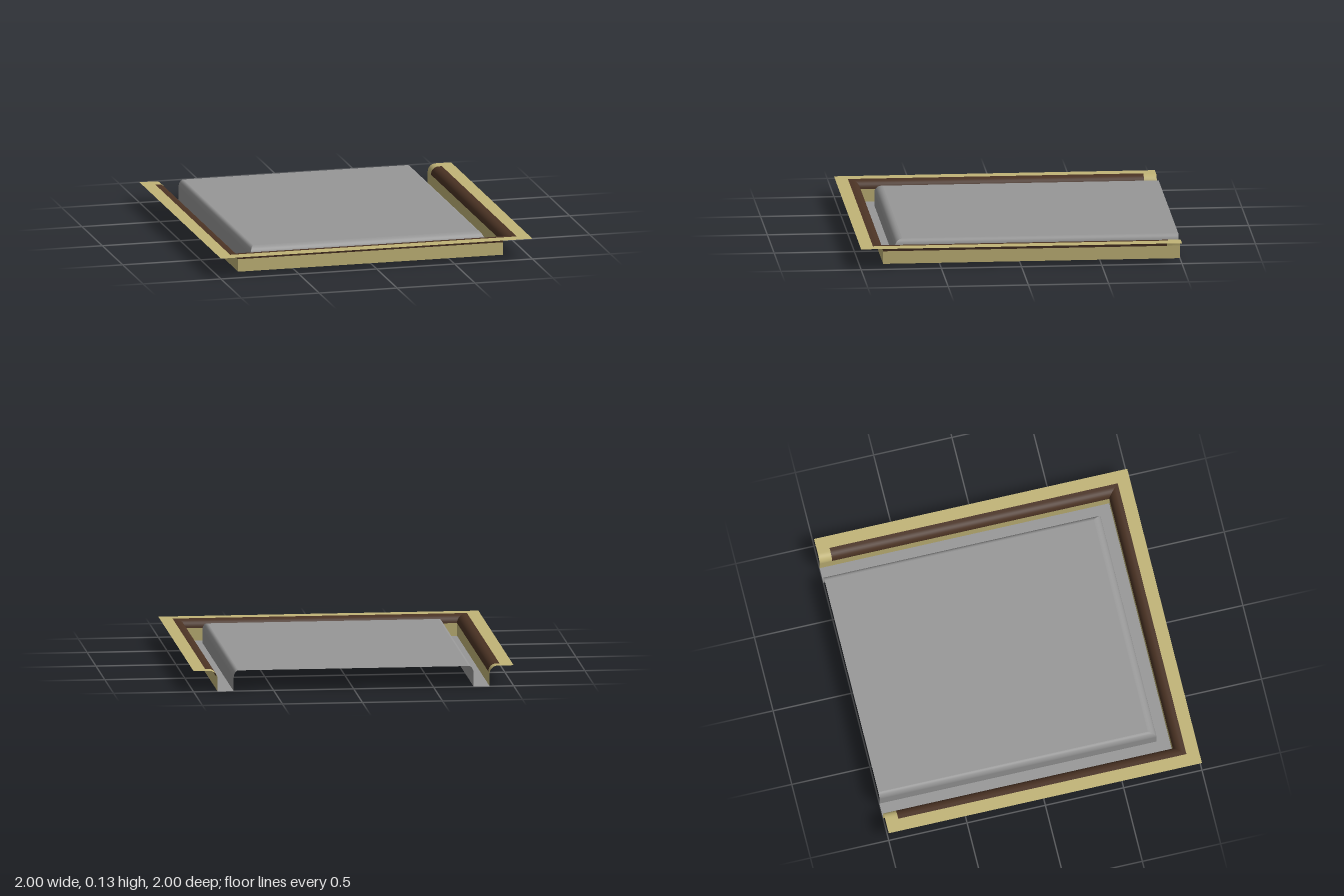
import * as THREE from 'three';

const H = 0.13;      // height of the rim and of the raised panel
const BACK = -1;     // open rear edge
const STAIN_END = -0.92;

function makeMaterial(name, color) {
  const m = new THREE.MeshStandardMaterial({ color, side: THREE.DoubleSide });
  m.name = name;
  return m;
}

// Sweeps a profile of [x, z, y] points (listed from the inside out) along a U
// that is open at the back, with mitred front corners.
function sweepU(profile, backZ, endZ = null) {
  const pos = [], idx = [];
  const corners = ([x, z, y]) => endZ === null
    ? [[[-x, y, backZ], [-x, y, z]], [[-x, y, z], [x, y, z]], [[x, y, z], [x, y, backZ]]]
    : [[[-x, y, backZ], [-x, y, endZ]], [[x, y, endZ], [x, y, backZ]]];
  const sides = endZ === null ? 3 : 2;
  for (let s = 0; s < sides; s++) {
    const base = pos.length / 3;
    for (const p of profile) for (const v of corners(p)[s]) pos.push(...v);
    for (let i = 0; i < profile.length - 1; i++) {
      const a = base + i * 2, b = a + 1, d = a + 2, c = a + 3;
      idx.push(a, d, c, a, c, b);
    }
  }
  const g = new THREE.BufferGeometry();
  g.setAttribute('position', new THREE.Float32BufferAttribute(pos, 3));
  g.setIndex(idx);
  g.computeVertexNormals();
  return g;
}

export function createModel() {
  const group = new THREE.Group();
  const tan = makeMaterial('tan', 0xc1b477);
  const brown = makeMaterial('brown', 0x4b3324);
  const grey = makeMaterial('grey', 0x979797);
  const add = (name, geometry, material) => {
    const mesh = new THREE.Mesh(geometry, material);
    mesh.name = name;
    group.add(mesh);
  };

  // Rounded lip that flares from the channel wall to the flat rim
  const lip = [];
  for (let i = 0; i <= 8; i++) {
    const a = (i / 8) * Math.PI / 2;
    const d = 0.9 - 0.05 * Math.cos(a);
    lip.push([d, d, 0.08 + 0.05 * Math.sin(a)]);
  }
  lip.push([0.92, 0.92, H]);

  // Outer rim, lip and wall
  add('rim', sweepU([[0.92, 0.92, H], [1, 1, H]], BACK), tan);
  add('lipBand', sweepU(lip, STAIN_END), brown);
  add('lipEnds', sweepU(lip, BACK, STAIN_END), tan);
  add('channelWall', sweepU([[0.85, 0.85, 0], [0.85, 0.85, 0.08]], BACK), tan);

  // Channel floor
  add('channelFloor', sweepU([[0.75, 0.77, 0], [0.85, 0.85, 0]], BACK), grey);

  // Raised panel: rounded edge running down to the floor, and flat top
  const edge = [];
  for (let i = 0; i <= 8; i++) {
    const a = (i / 8) * Math.PI / 2;
    edge.push([0.72 + 0.03 * Math.sin(a), 0.72 + 0.05 * Math.sin(a), 0.08 + 0.05 * Math.cos(a)]);
  }
  edge.push([0.75, 0.77, 0]);
  add('panelEdge', sweepU(edge, BACK), grey);

  const top = new THREE.PlaneGeometry(1.44, 1.72);
  top.rotateX(-Math.PI / 2);
  top.translate(0, H, -0.14);
  add('panelTop', top, grey);

  return group;
}
